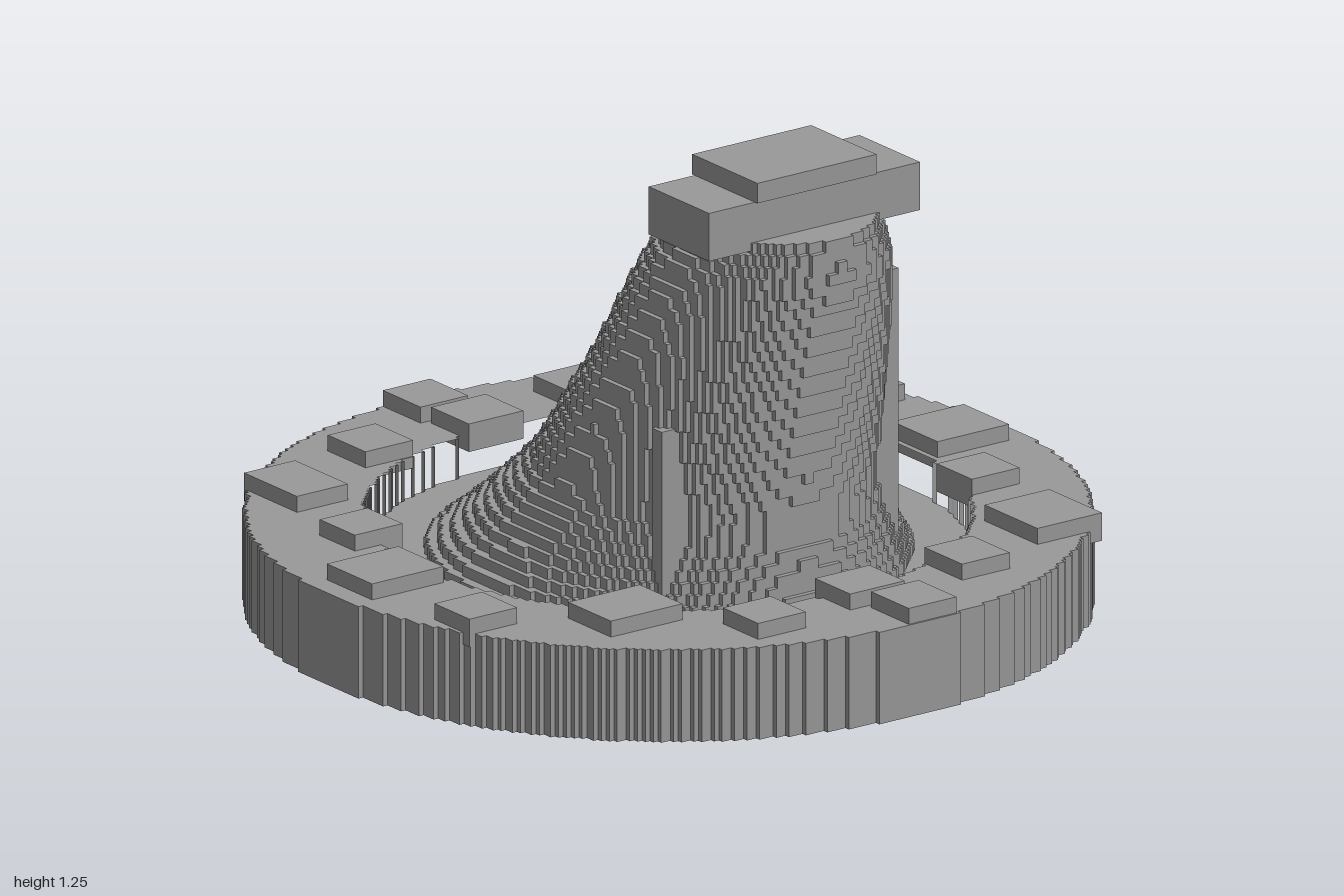
import * as THREE from 'three';
import { mergeGeometries } from 'three/addons/utils/BufferGeometryUtils.js';

const FLOOR = 0.13, RIM = 0.23;

// Stair-stepped outline of an ellipse on a square grid
function steppedPoints(cx, rx, rz, cell) {
  const top = [];
  const add = (x, z) => {
    const p = top[top.length - 1];
    if (!p || Math.abs(p.x - x) + Math.abs(p.y - z) > 1e-6) top.push(new THREE.Vector2(x, z));
  };
  for (let i = Math.floor((cx - rx) / cell); i <= Math.ceil((cx + rx) / cell); i++) {
    const t = ((i + 0.5) * cell - cx) / rx;
    if (Math.abs(t) >= 1) continue;
    const h = Math.max(1, Math.round(rz * Math.sqrt(1 - t * t) / cell)) * cell;
    add(i * cell, h);
    add((i + 1) * cell, h);
  }
  const bottom = top.map(p => new THREE.Vector2(p.x, -p.y)).reverse();
  return [...top, ...bottom];
}

// Flat slab with a stepped outline and an optional hole
function slab(points, y0, y1, hole) {
  const shape = new THREE.Shape(points);
  if (hole) shape.holes.push(new THREE.Path(hole));
  const g = new THREE.ExtrudeGeometry(shape, { depth: y1 - y0, bevelEnabled: false });
  return g.rotateX(-Math.PI / 2).translate(0, y0, 0);
}

// Leaning tower profile: height, left x, right x, half depth
const PROFILE = [
  [0.13, -0.59, 0.58, 0.58], [0.23, -0.46, 0.56, 0.50], [0.30, -0.38, 0.54, 0.46],
  [0.40, -0.27, 0.54, 0.41], [0.50, -0.19, 0.56, 0.395], [0.60, -0.12, 0.585, 0.375],
  [0.70, -0.05, 0.61, 0.355], [0.80, 0.01, 0.635, 0.335], [0.90, 0.06, 0.66, 0.31],
  [1.00, 0.12, 0.69, 0.28], [1.06, 0.17, 0.685, 0.25], [1.11, 0.23, 0.67, 0.21],
];

function sectionAt(y) {
  let i = 0;
  while (i < PROFILE.length - 2 && PROFILE[i + 1][0] < y) i++;
  const a = PROFILE[i], b = PROFILE[i + 1];
  const t = (y - a[0]) / (b[0] - a[0]);
  return a.map((v, k) => THREE.MathUtils.lerp(v, b[k], t));
}

export function createModel() {
  const model = new THREE.Group();
  const stone = new THREE.MeshStandardMaterial({ color: 0x999999 });
  stone.name = 'grey stone';

  const add = (name, geometry, parent = model) => {
    const mesh = new THREE.Mesh(geometry, stone);
    mesh.name = name;
    parent.add(mesh);
    return mesh;
  };
  const block = (name, x0, x1, y0, y1, z0, z1, parent) =>
    add(name, new THREE.BoxGeometry(x1 - x0, y1 - y0, z1 - z0)
      .translate((x0 + x1) / 2, (y0 + y1) / 2, (z0 + z1) / 2), parent);

  // Round base: raised rim around a sunken floor
  const cell = 1 / 75;
  const well = steppedPoints(0, 0.72, 0.72, cell);
  add('baseRim', slab(steppedPoints(0, 1, 1, cell), 0, RIM, well));
  add('wellFloor', slab(well, 0, FLOOR));

  // Tower: stacked stepped layers
  const layers = [];
  const count = 36, h = (1.10 - FLOOR) / count;
  for (let i = 0; i < count; i++) {
    const y = FLOOR + i * h;
    const [, left, right, depth] = sectionAt(y + h / 2);
    layers.push(slab(steppedPoints((left + right) / 2, (right - left) / 2, depth, cell), y, y + h));
  }
  add('tower', mergeGeometries(layers));

  // Upright ribs on the back and front flanks
  block('backRib', 0.30, 0.40, FLOOR, 0.87, -0.38, -0.20);
  block('frontRib', 0.40, 0.44, FLOOR, 0.62, 0.20, 0.345);

  // Crossbeam and cap on the summit
  block('crossbeam', 0.34, 0.58, 1.08, 1.20, -0.31, 0.31);
  block('cap', 0.33, 0.59, 1.20, 1.25, -0.175, 0.175);

  // Flat blocks on the rim: centre x, centre z, width, depth
  const studs = new THREE.Group();
  studs.name = 'rimBlocks';
  model.add(studs);
  [
    [-0.375, -0.85, 0.14, 0.14], [-0.015, -0.84, 0.18, 0.21], [0.27, -0.71, 0.14, 0.14],
    [0.61, -0.65, 0.21, 0.19], [0.74, -0.33, 0.15, 0.14], [0.92, -0.04, 0.15, 0.14],
    [0.76, 0, 0.14, 0.16], [0.80, 0.31, 0.14, 0.14], [0.565, 0.545, 0.17, 0.21],
    [0.37, 0.84, 0.14, 0.14], [0.01, 0.84, 0.18, 0.21], [-0.275, 0.70, 0.14, 0.14],
    [-0.615, 0.64, 0.21, 0.15], [-0.745, 0.325, 0.15, 0.14], [-0.925, 0.03, 0.15, 0.14],
    [-0.76, 0, 0.15, 0.16], [-0.805, -0.32, 0.14, 0.14], [-0.57, -0.55, 0.17, 0.21],
  ].forEach(([x, z, w, d]) =>
    block('rimBlock', x - w / 2, x + w / 2, RIM - 0.03, 0.27, z - d / 2, z + d / 2, studs));

  return model;
}
